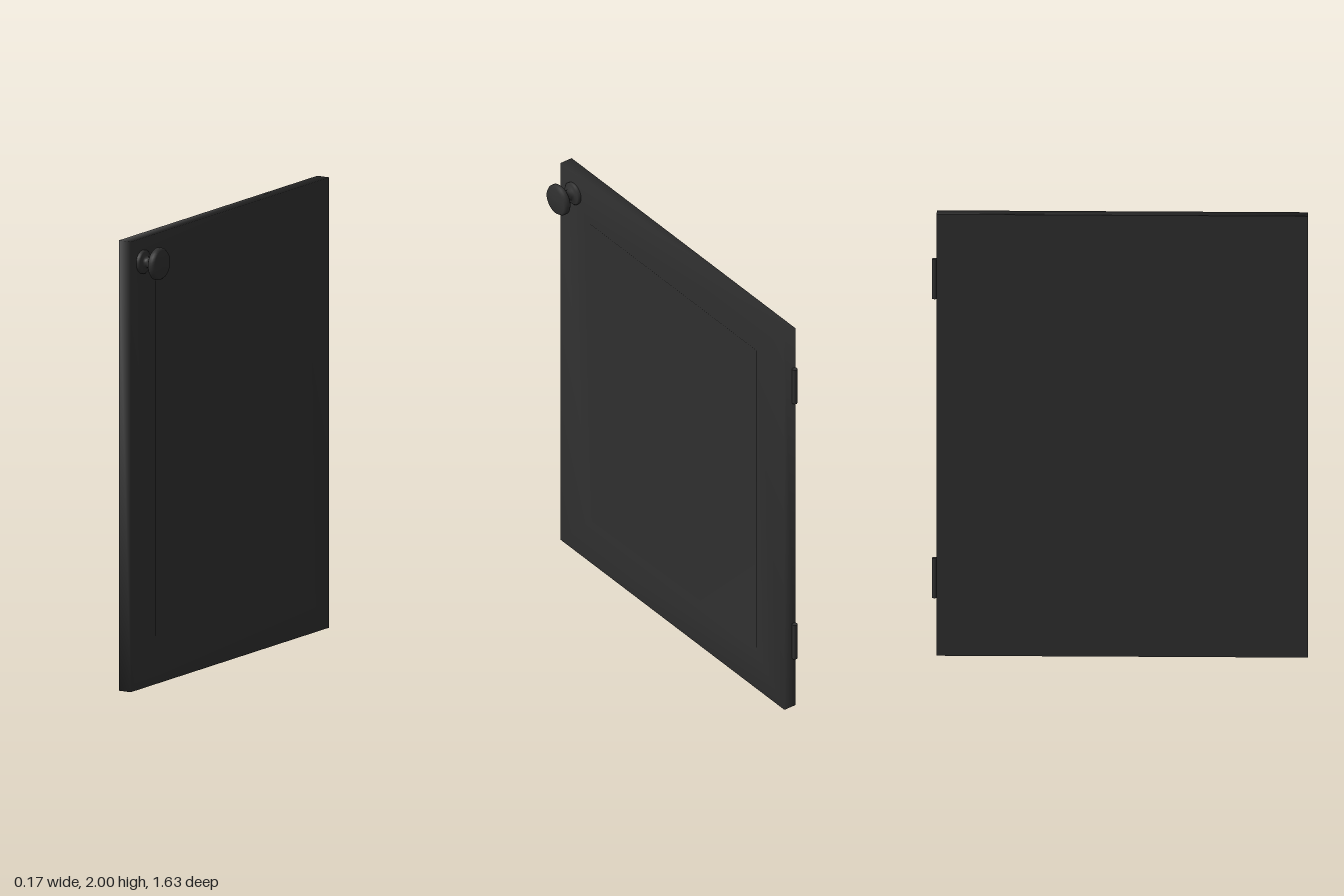
import * as THREE from 'three';

const material = new THREE.MeshStandardMaterial({ color: 0x303030 });
const BACK = -0.083, FRONT = -0.022;
const Z0 = -0.797, Z1 = 0.817, HEIGHT = 2;

function addMesh(parent, name, geometry) {
  const mesh = new THREE.Mesh(geometry, material);
  mesh.name = name;
  parent.add(mesh);
  return mesh;
}

// Door front and edges: rectangular rings from the back edge in to the recess
function panelGeometry() {
  const rings = [ // [x, inset from the outer edge]
    [BACK, 0], [FRONT, 0], [FRONT, 0.205], [FRONT - 0.012, 0.225],
  ];
  const positions = [], index = [];
  for (const [x, d] of rings) {
    positions.push(x, d, Z1 - d, x, d, Z0 + d, x, HEIGHT - d, Z0 + d, x, HEIGHT - d, Z1 - d);
  }
  for (let r = 0; r < rings.length - 1; r++) {
    for (let i = 0; i < 4; i++) {
      const a = r * 4 + i, b = r * 4 + (i + 1) % 4;
      index.push(a, b, b + 4, a, b + 4, a + 4);
    }
  }
  const c = (rings.length - 1) * 4;
  index.push(c, c + 1, c + 2, c, c + 2, c + 3);
  const geometry = new THREE.BufferGeometry();
  geometry.setAttribute('position', new THREE.Float32BufferAttribute(positions, 3));
  geometry.setIndex(index);
  geometry.computeVertexNormals();
  return geometry;
}

export function createModel() {
  const group = new THREE.Group();
  group.name = 'cabinetDoor';

  addMesh(group, 'doorPanel', panelGeometry());

  // Flat back of the door
  const back = addMesh(group, 'doorBack', new THREE.PlaneGeometry(Z1 - Z0, HEIGHT));
  back.rotation.y = -Math.PI / 2;
  back.position.set(BACK, HEIGHT / 2, (Z0 + Z1) / 2);

  // Turned knob: base flange, waisted neck and round head
  const profile = [
    [0.052, -0.025], [0.052, -0.012], [0.046, -0.006], [0.028, -0.004], [0.022, 0.006],
    [0.026, 0.02], [0.042, 0.04], [0.064, 0.045], [0.071, 0.052],
    [0.071, 0.068], [0.062, 0.08], [0, 0.083],
  ].map(([r, x]) => new THREE.Vector2(r, x));
  const knob = addMesh(group, 'knob', new THREE.LatheGeometry(profile, 32));
  knob.rotation.z = -Math.PI / 2;
  knob.position.set(0, 1.895, 0.72);

  // Hinge barrels on the back edge
  for (const [name, y] of [['upperHinge', 1.705], ['lowerHinge', 0.35]]) {
    const hinge = addMesh(group, name, new THREE.CylinderGeometry(0.012, 0.012, 0.18, 16));
    hinge.position.set(-0.071, y, -0.806);
  }
  return group;
}
